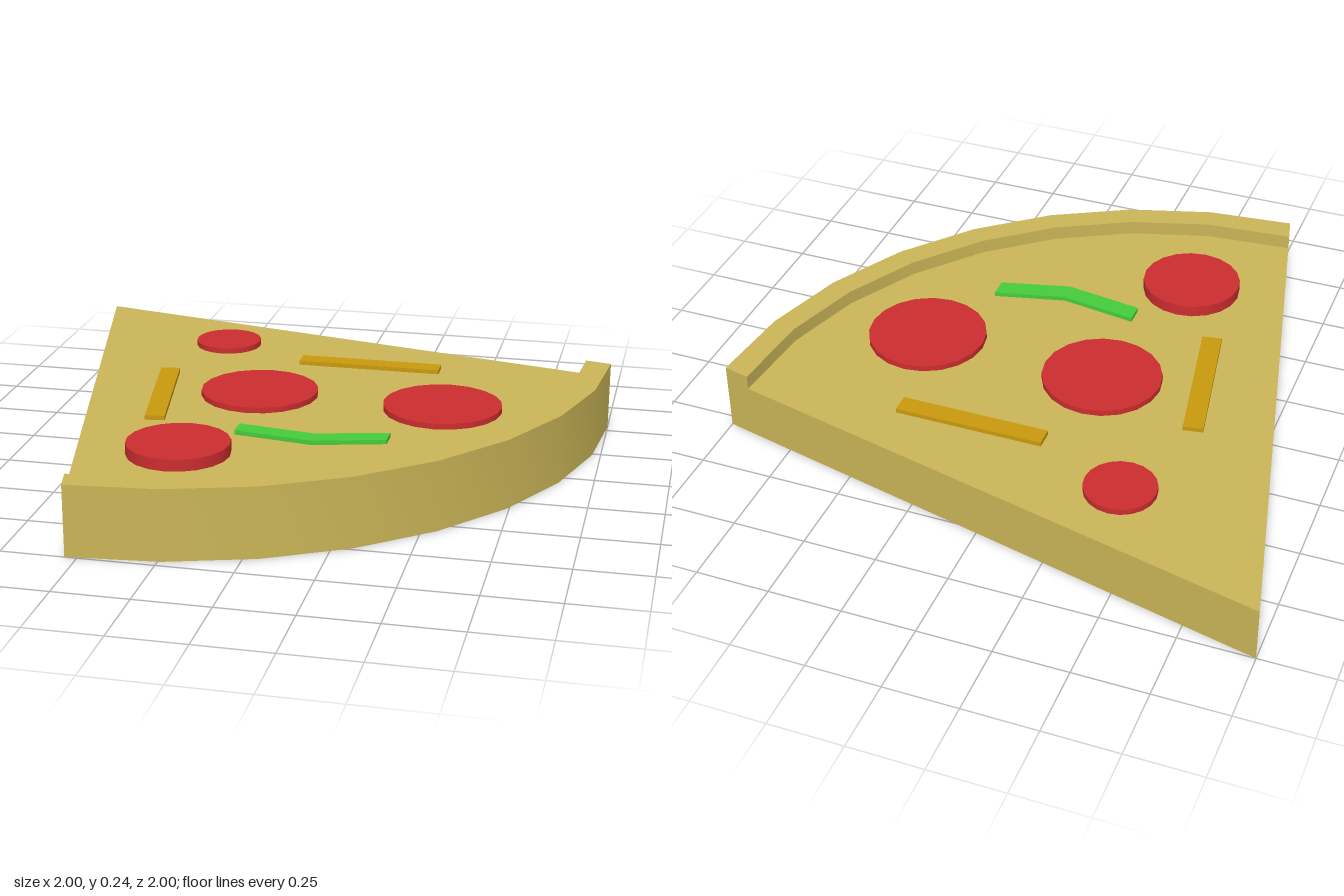
import * as THREE from 'three';
import { toCreasedNormals } from 'three/addons/utils/BufferGeometryUtils.js';

const BASE_TOP = 0.19;
const CRUST_TOP = 0.24;

const paint = (name, color) => {
  const m = new THREE.MeshStandardMaterial({ color });
  m.name = name;
  return m;
};

// Upright prism over an outline of [x, z] points, gently curved walls shaded smooth
function slab(outline, y, height) {
  const shape = new THREE.Shape(outline.map(([x, z]) => new THREE.Vector2(x, -z)));
  const geo = new THREE.ExtrudeGeometry(shape, { depth: height, bevelEnabled: false });
  geo.rotateX(-Math.PI / 2).translate(0, y, 0);
  return toCreasedNormals(geo, 0.4);
}

// Quarter arc in eight steps, from the right corner to the front corner
function arc(radius, start, end) {
  const pts = [start];
  for (let i = 1; i < 8; i++) {
    const a = (i / 8) * Math.PI / 2;
    pts.push([-0.54 + radius * Math.cos(a), -0.54 + radius * Math.sin(a)]);
  }
  return [...pts, end];
}

export function createModel() {
  const group = new THREE.Group();
  group.name = 'pizzaSlice';
  const dough = paint('dough', 0xcab557);
  const red = paint('pepperoniRed', 0xcc2d2f);
  const gold = paint('cheeseGold', 0xc99a0e);
  const green = paint('pepperGreen', 0x46cc3c);

  const add = (name, geo, mat) => {
    const mesh = new THREE.Mesh(geo, mat);
    mesh.name = name;
    group.add(mesh);
    return mesh;
  };

  // Wedge and raised crust
  const inner = arc(1.453, [0.91, -0.561], [-0.561, 0.91]);
  const outer = arc(1.54, [1, -0.54], [-0.54, 1]);
  add('base', slab([[-1, -1], ...inner], 0, BASE_TOP), dough);
  add('crust', slab([...outer, ...inner.slice().reverse()], 0, CRUST_TOP), dough);

  // Pepperoni discs: x, z, radius, thickness
  [
    [-0.435, -0.62, 0.12, 0.02],
    [-0.185, -0.09, 0.205, 0.02],
    [0.465, -0.07, 0.205, 0.02],
    [-0.305, 0.53, 0.172, 0.04],
  ].forEach(([x, z, r, h], i) => {
    add(`pepperoni${i + 1}`, new THREE.CylinderGeometry(r, r, h, 20), red)
      .position.set(x, BASE_TOP + h / 2, z);
  });

  // Cheese strips: x, z, turn
  [
    [0.135, -0.47, Math.PI / 2],
    [-0.514, -0.003, 0.177],
  ].forEach(([x, z, turn], i) => {
    const strip = add(`cheeseStrip${i + 1}`, new THREE.BoxGeometry(0.068, 0.015, 0.513), gold);
    strip.position.set(x, BASE_TOP + 0.0075, z);
    strip.rotation.y = turn;
  });

  // Bent strip of green pepper
  const bend = [[-0.17, 0.26], [0.095, 0.3], [0.34, 0.24], [0.34, 0.308], [0.1, 0.37], [-0.17, 0.328]];
  add('greenPepper', slab(bend, BASE_TOP, 0.015), green);

  return group;
}
